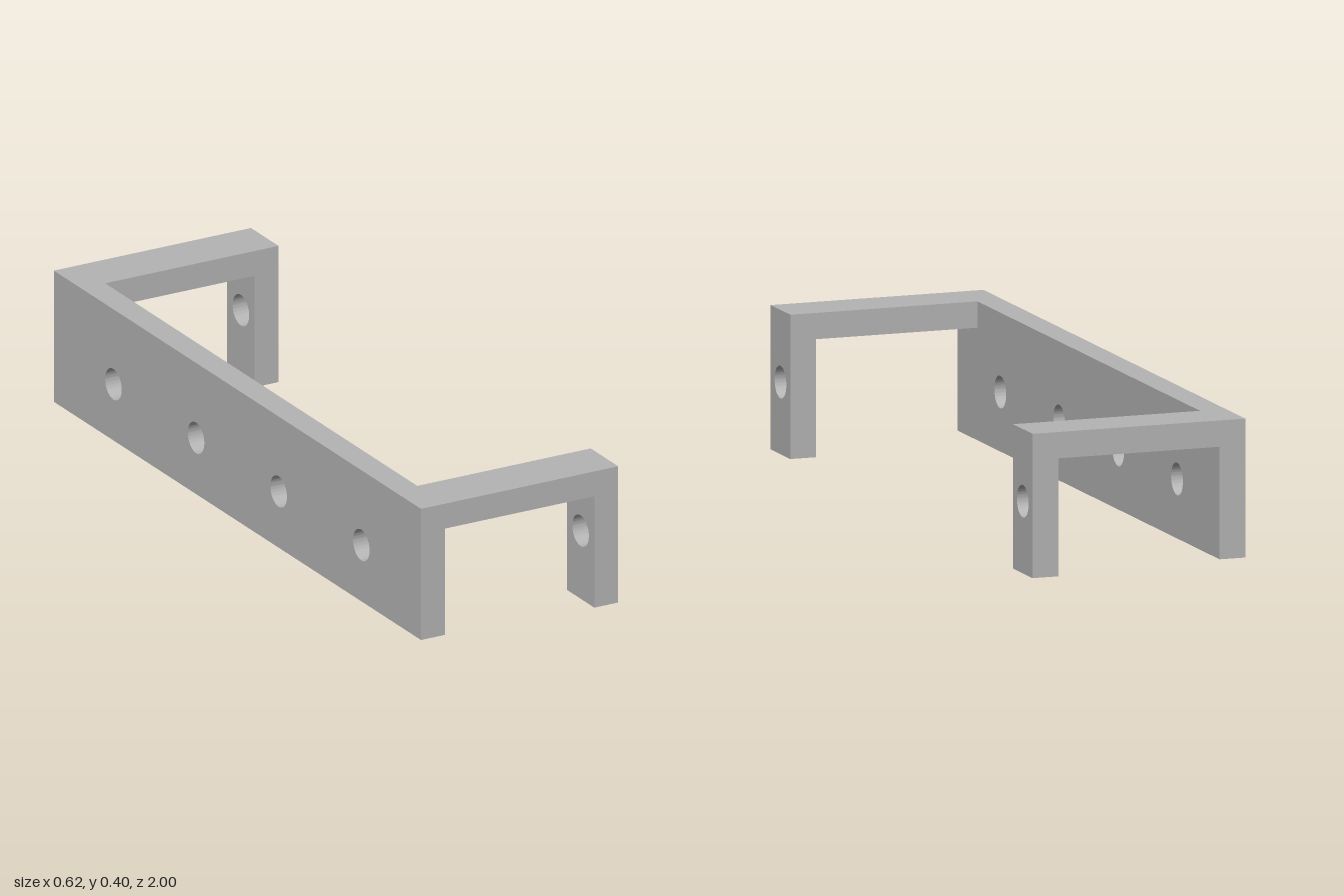
import * as THREE from 'three';
import { toCreasedNormals } from 'three/addons/utils/BufferGeometryUtils.js';

const T = 0.075;       // plate and leg thickness along x
const X0 = -0.31;      // outer face of the back plate
const X1 = 0.31;       // outer face of the legs
const TOP = 0.4;
const HOLE_R = 0.045;

// Upright slab facing x, drilled with round through holes given as [z, y]
function drilledSlab(name, x, z0, z1, y0, y1, holes, material) {
  const shape = new THREE.Shape();
  shape.moveTo(-z1, y0);
  shape.lineTo(-z0, y0);
  shape.lineTo(-z0, y1);
  shape.lineTo(-z1, y1);
  shape.closePath();
  for (const [z, y] of holes) {
    const hole = new THREE.Path();
    hole.absarc(-z, y, HOLE_R, 0, Math.PI * 2, true);
    shape.holes.push(hole);
  }
  let geometry = new THREE.ExtrudeGeometry(shape, { depth: T, bevelEnabled: false, curveSegments: 32 });
  geometry = toCreasedNormals(geometry, 0.6);
  geometry.rotateY(Math.PI / 2);
  geometry.translate(x, 0, 0);
  const mesh = new THREE.Mesh(geometry, material);
  mesh.name = name;
  return mesh;
}

export function createModel() {
  const model = new THREE.Group();
  model.name = 'bracket';
  const grey = new THREE.MeshStandardMaterial({ color: 0xb4b4b4 });
  grey.name = 'grey';

  // Long mounting plate with four screw holes
  const plateHoles = [-0.675, -0.225, 0.225, 0.675].map((z) => [z, 0.18]);
  model.add(drilledSlab('mountingPlate', X0, -1, 1, 0.015, TOP, plateHoles, grey));

  // Hooked arm at each end: horizontal bar and drilled leg
  for (const [side, s] of [['front', 1], ['back', -1]]) {
    const zMid = s * 0.925;
    const arm = new THREE.Mesh(new THREE.BoxGeometry(X1 - X0 - 2 * T, 0.073, 0.15), grey);
    arm.name = side + 'Arm';
    arm.position.set(0, TOP - 0.0365, zMid);
    model.add(arm);
    model.add(drilledSlab(side + 'Leg', X1 - T, zMid - 0.075, zMid + 0.075, 0, TOP, [[zMid, 0.2]], grey));
  }
  return model;
}
